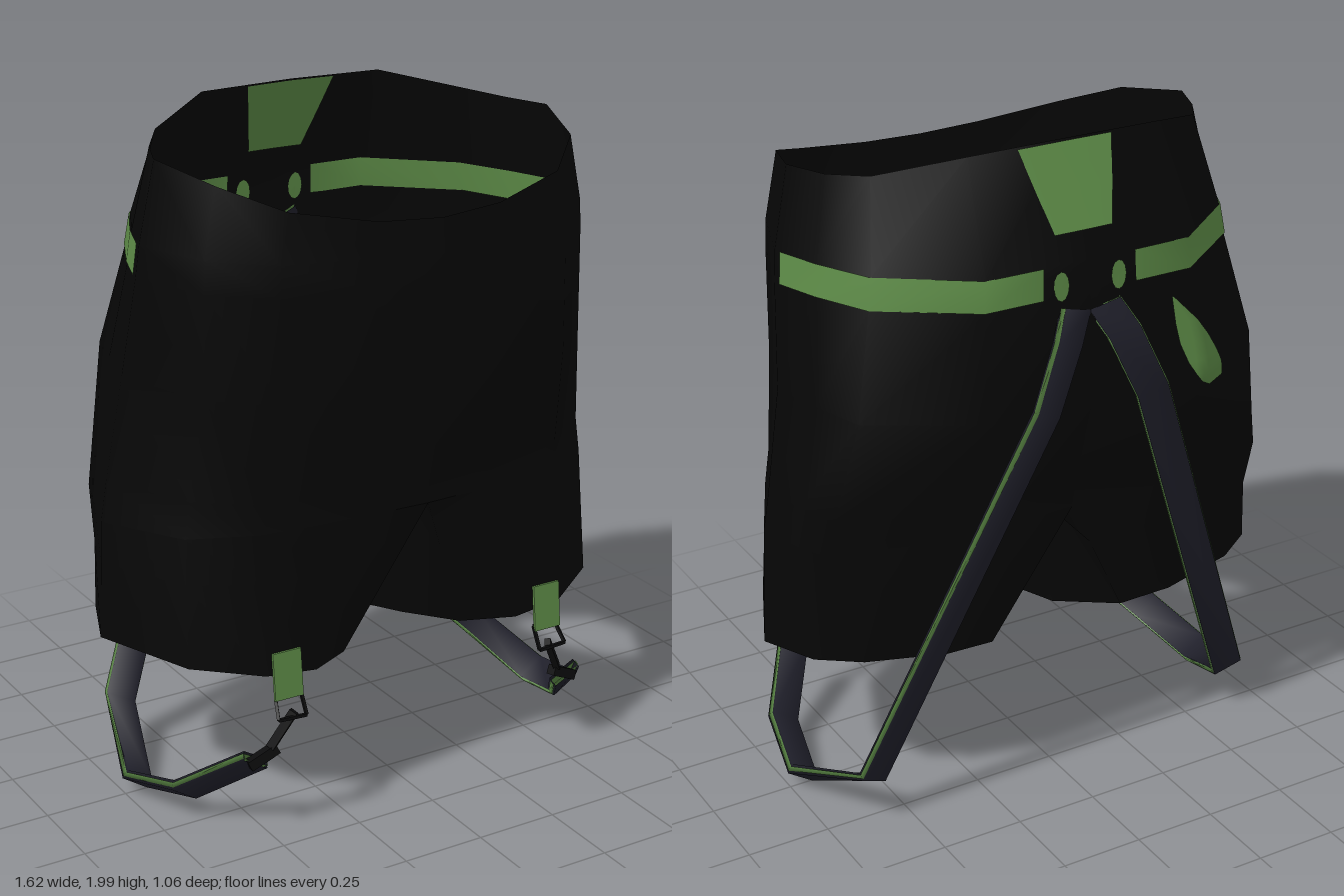
import * as THREE from 'three';

const mat = (name, color) => {
  const m = new THREE.MeshStandardMaterial({ color, side: THREE.DoubleSide });
  m.name = name;
  return m;
};
const V = (x, y, z) => new THREE.Vector3(x, y, z);
const lerp = THREE.MathUtils.lerp;

// Half outlines at the waist and at the legs, front centre to back centre, as unit x and z
const WAIST = [[0, 1], [0.3, 0.97], [0.67, 0.84], [0.89, 0.58], [1, 0.16],
  [0.92, -0.15], [0.8, -0.52], [0.46, -0.95], [0, -0.97]];
const LOWER = [[0, 1], [0.28, 0.96], [0.62, 0.85], [0.84, 0.57], [1, 0],
  [0.95, -0.34], [0.9, -0.65], [0.48, -1], [0, -0.96]];
// Rings from waist to crotch: half width, front z, back z, y at front, side, back, outline blend
const RINGS = [
  [0.64, 0.515, 0.31, 1.77, 1.92, 2.0, 0],
  [0.688, 0.522, 0.45, 1.685, 1.685, 1.695, 0.1],
  [0.697, 0.523, 0.455, 1.595, 1.595, 1.605, 0.2],
  [0.725, 0.53, 0.485, 1.3, 1.3, 1.3, 0.8],
  [0.775, 0.46, 0.395, 1.0, 1.0, 1.0, 1],
  [0.795, 0.457, 0.38, 0.93, 0.88, 0.92, 1]];
// Leg hem loop seen from above: the outline points, then the inner leg
const HEM = [[0.2, 0.33], [0.34, 0.415], [0.5, 0.41], [0.68, 0.29], [0.81, 0], [0.74, -0.18],
  [0.62, -0.26], [0.38, -0.31], [0.22, -0.29], [0.08, -0.13], [0.037, 0.04], [0.1, 0.17]];

// Surface through rows of points
function grid(rows, closed = false) {
  const n = rows[0].length, pos = [], idx = [];
  rows.forEach(r => r.forEach(p => pos.push(p.x, p.y, p.z)));
  for (let i = 0; i < rows.length - 1; i++) {
    for (let j = 0; j < (closed ? n : n - 1); j++) {
      const a = i * n + j, b = i * n + (j + 1) % n;
      idx.push(a, a + n, b, b, a + n, b + n);
    }
  }
  const g = new THREE.BufferGeometry();
  g.setAttribute('position', new THREE.Float32BufferAttribute(pos, 3));
  g.setIndex(idx);
  g.computeVertexNormals();
  return g;
}

// Point on the body: t along the outline, l down the rings, off outwards
function bodyPoint(t, l, off = 0) {
  const at = i => {
    const [w, zf, zb, yf, ys, yb, blend] = RINGS[i];
    const k = Math.min(Math.floor(t), 7);
    const pt = j => {
      const u = lerp(WAIST[j][0], LOWER[j][0], blend), v = lerp(WAIST[j][1], LOWER[j][1], blend);
      return V(u * w, lerp(ys, v > 0 ? yf : yb, Math.abs(v) ** 2.5), v * (v > 0 ? zf : zb));
    };
    return pt(k).lerp(pt(k + 1), t - k);
  };
  const i = Math.min(Math.floor(l), RINGS.length - 2);
  const p = at(i).lerp(at(i + 1), l - i);
  return p.add(V(p.x, 0, p.z).normalize().multiplyScalar(off));
}

// Point on the back of the body at a given x and y
function backPoint(x, y, off) {
  let i = 0;
  while (i < RINGS.length - 2 && RINGS[i + 1][5] > y) i++;
  const l = i + (RINGS[i][5] - y) / (RINGS[i][5] - RINGS[i + 1][5]);
  const x7 = bodyPoint(7, l).x, x6 = bodyPoint(6, l).x, ax = Math.abs(x);
  const p = bodyPoint(ax < x7 ? 8 - ax / x7 : 7 - (ax - x7) / (x6 - x7), l, off);
  p.x *= Math.sign(x) || 1;
  return p;
}

// Ribbon of rectangular section along a path, with its width direction at each point
function ribbon(path, across, width, thick) {
  const rows = path.map((p, i) => {
    const dir = path[Math.min(i + 1, path.length - 1)].clone().sub(path[Math.max(i - 1, 0)]);
    const w = across[i].clone().normalize();
    const n = dir.cross(w).normalize().multiplyScalar(thick / 2);
    w.multiplyScalar(width / 2);
    return [[1, 1], [1, -1], [-1, -1], [-1, 1]].map(([a, b]) =>
      p.clone().addScaledVector(w, a).addScaledVector(n, b));
  });
  return grid(rows, true);
}

export function createModel() {
  const cloth = mat('blackCloth', 0x060606);
  const green = mat('greenTrim', 0x5d8b47);
  const navy = mat('navyWebbing', 0x20202b);
  const metal = mat('blackMetal', 0x0c0c0d);
  const model = new THREE.Group();
  model.name = 'strappedShorts';
  const add = (parent, name, geo, m) => {
    const mesh = new THREE.Mesh(geo, m);
    mesh.name = name;
    parent.add(mesh);
    return mesh;
  };
  // Thin decoration visible on the outside and inside of the cloth
  const decorate = (parent, name, rowsAt, gap = 0.004) =>
    [gap, -gap].forEach(o => add(parent, name, grid(rowsAt(o)), green));

  const bar = (parent, name, a, b, w, d) => {
    const m = add(parent, name, new THREE.BoxGeometry(w, a.distanceTo(b), d), metal);
    m.position.copy(a).lerp(b, 0.5);
    m.quaternion.setFromUnitVectors(V(0, 1, 0), b.clone().sub(a).normalize());
  };

  for (const side of [1, -1]) {
    const half = new THREE.Group();
    half.name = side > 0 ? 'leftHalf' : 'rightHalf';
    half.scale.x = side;
    model.add(half);

    // Body half
    const rows = RINGS.map((_, l) => LOWER.map((_, t) => bodyPoint(t, l)));
    add(half, 'shortsBody', grid(rows), cloth);

    // Leg from the crotch saddle to the hem, with the hem turned in
    const top = [...rows[5], V(0, 0.86, -0.2), V(0, 0.835, 0.03), V(0, 0.86, 0.25)];
    const hem = HEM.map(([x, z]) => V(x, 0.447 + 0.1 * x - 0.1 * Math.min(z, 0), z));
    const mid = top.map((p, i) => {
      const q = p.clone().lerp(hem[i], 0.35);
      if (i > 8) q.set(lerp(p.x, hem[i].x, 0.8), lerp(p.y, hem[i].y, 0.1), q.z);
      return q;
    });
    const lip = hem.map(p => V(lerp(p.x, 0.42, 0.07), p.y + 0.015, lerp(p.z, -0.08, 0.12)));
    add(half, 'shortsLeg', grid([top, mid, hem], true), cloth);
    add(half, 'hemLip', grid([hem, lip], true), cloth);

    // Hip band and small oval beside the back centre
    decorate(half, 'hipBand', o => [1, 2].map(l =>
      [4.15, 5, 6, 7, 7.55].map(t => bodyPoint(t, l, o))));
    decorate(half, 'bandOval', o => [0.01, 1].map(r => Array.from({ length: 13 }, (_, i) => {
      const a = i * Math.PI / 6;
      return backPoint(0.09 + 0.024 * r * Math.cos(a), 1.635 + 0.042 * r * Math.sin(a), o);
    })));

    // Hanging strap with a green line along its edges
    const path = [V(0.045, 1.56, -0.44), V(0.09, 1.48, -0.475), V(0.17, 1.3, -0.5),
      V(0.62, 0.165, -0.29), V(0.71, 0.044, 0), V(0.665, 0.1, 0.22), V(0.535, 0.245, 0.405)];
    const across = [V(0.9, 0.3, -0.2), V(0.85, 0.35, -0.25), V(0.8, 0.38, -0.3),
      V(0.8, 0.42, -0.25), V(0.82, 0.55, 0), V(0.82, 0.55, 0.05), V(0.8, 0.5, 0.1)];
    add(half, 'strap', ribbon(path, across, 0.092, 0.03), navy);
    add(half, 'strapEdge', ribbon(path, across, 0.098, 0.014), green);

    // Hem tab
    const tab = add(half, 'hemTab', new THREE.BoxGeometry(0.09, 0.14, 0.009), green);
    tab.position.set(0.442, 0.497, 0.428);
    tab.rotation.x = -0.1;

    // Wire ring and snap clip
    const ring = [V(0.4, 0.44, 0.425), V(0.48, 0.43, 0.425), V(0.49, 0.38, 0.46), V(0.4, 0.375, 0.46)];
    ring.forEach((p, i) => bar(half, 'wireRing', p, ring[(i + 1) % 4], 0.009, 0.009));
    bar(half, 'clipHook', V(0.435, 0.39, 0.45), V(0.495, 0.28, 0.42), 0.025, 0.018);
    bar(half, 'clipBar', V(0.475, 0.275, 0.42), V(0.56, 0.235, 0.41), 0.03, 0.03);
  }

  // Tapered tab at the back of the waist
  decorate(model, 'backWaistTab', o => [[1.995, 0.145], [1.88, 0.118], [1.77, 0.09]].map(([y, w]) =>
    [-w, 0, w].map(x => backPoint(x, y, o))));

  // Leaf shaped patch on the right of the back
  const leaf = [[1.54, 0.25, 0.255], [1.46, 0.258, 0.33], [1.4, 0.27, 0.38],
    [1.34, 0.295, 0.42], [1.3, 0.32, 0.44], [1.27, 0.345, 0.455], [1.24, 0.39, 0.46]];
  decorate(model, 'leafPatch', o => leaf.map(([y, a, b]) =>
    [0, 0.2, 0.4, 0.6, 0.8, 1].map(f => backPoint(-lerp(a, b, f), y, o))), 0.013);

  return model;
}
